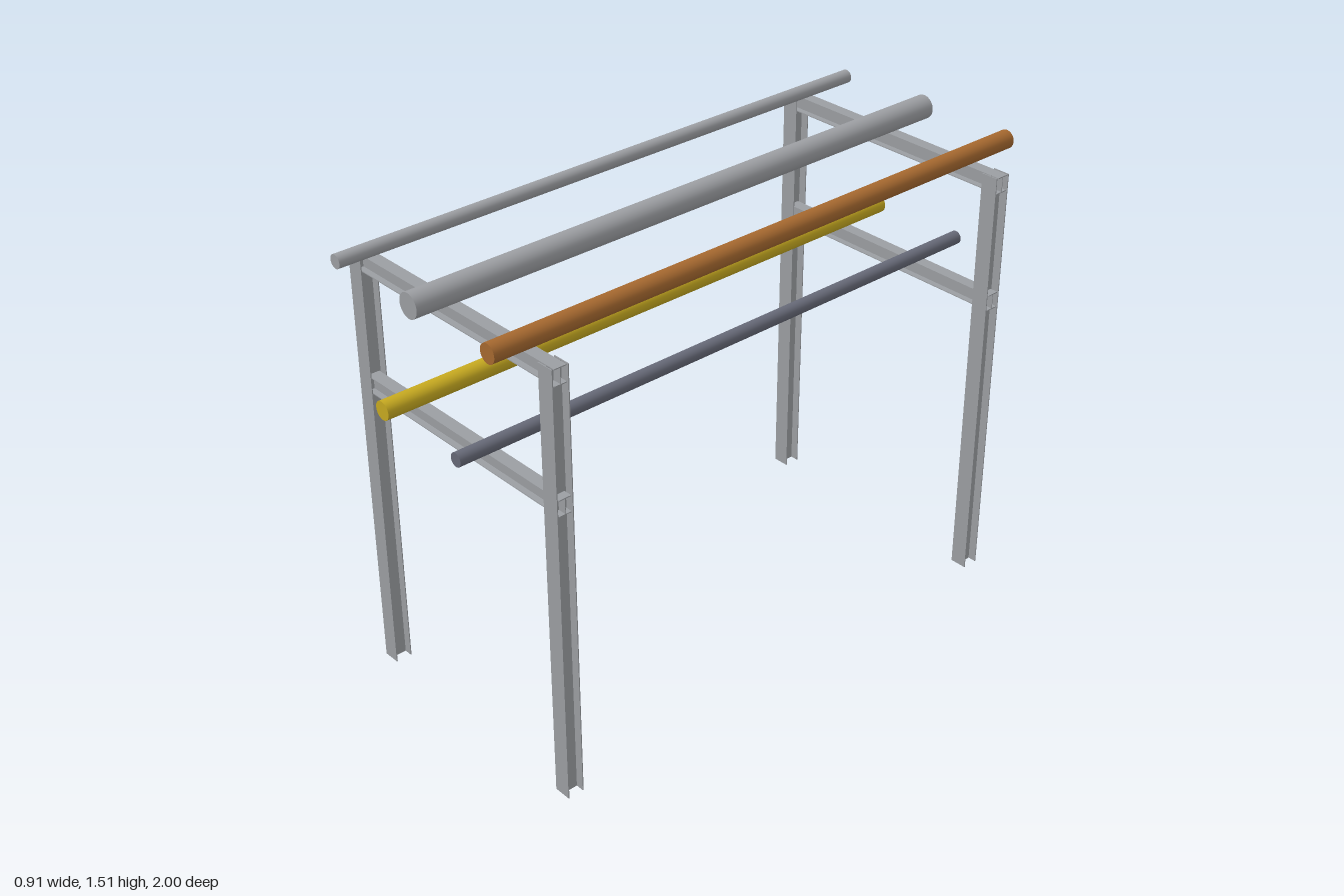
import * as THREE from 'three';

const material = (name, color) => {
  const m = new THREE.MeshStandardMaterial({ color });
  m.name = name;
  return m;
};

// I-section extruded along z: flanges at top and bottom (y), web between
function iSection(width, height, flange, web, length) {
  const w = width / 2, h = height / 2, t = web / 2, f = h - flange;
  const half = [[w, -h], [w, -f], [t, -f], [t, f], [w, f], [w, h]];
  const mirrored = half.map(([x, y]) => [-x, -y]);
  const shape = new THREE.Shape([...half, ...mirrored].map(([x, y]) => new THREE.Vector2(x, y)));
  return new THREE.ExtrudeGeometry(shape, { depth: length, bevelEnabled: false })
    .translate(0, 0, -length / 2);
}

export function createModel() {
  const model = new THREE.Group();
  model.name = 'pipeRack';

  const steel = material('steel', 0x9b9ea2);
  const greyPipe = material('greyPipe', 0x9c9ea2);
  const yellow = material('yellowPipe', 0xc6a920);
  const slate = material('slatePipe', 0x666977);
  const brown = material('brownPipe', 0xa5682f);

  const add = (parent, name, geometry, mat, x, y, z) => {
    const mesh = new THREE.Mesh(geometry, mat);
    mesh.name = name;
    mesh.position.set(x, y, z);
    parent.add(mesh);
  };

  // Columns have flanges facing front and back; beams run through to the outer sides
  const top = 1.43, beamHeight = 0.054;
  const columnGeometry = iSection(0.057, 0.056, 0.003, 0.002, top).rotateX(-Math.PI / 2);
  const beamGeometry = iSection(0.041, beamHeight, 0.003, 0.002, 0.914).rotateY(Math.PI / 2);

  for (const [name, z] of [['frontFrame', 0.857], ['backFrame', -0.857]]) {
    const frame = new THREE.Group();
    frame.name = name;
    frame.position.z = z;
    add(frame, 'leftColumn', columnGeometry, steel, 0.4285, top / 2, 0);
    add(frame, 'rightColumn', columnGeometry, steel, -0.4285, top / 2, 0);
    add(frame, 'upperBeam', beamGeometry, steel, 0, top - beamHeight / 2, 0);
    add(frame, 'lowerBeam', beamGeometry, steel, 0, 1.03 - beamHeight / 2, 0);
    model.add(frame);
  }

  // Pipes running the full length on both levels
  const pipes = [
    ['upperSmallPipe', -0.343, 1.474, 0.022, greyPipe],
    ['upperLargePipe', 0, 1.474, 0.039, greyPipe],
    ['upperBrownPipe', 0.343, 1.474, 0.03, brown],
    ['lowerYellowPipe', -0.171, 1.074, 0.03, yellow],
    ['lowerSlatePipe', 0.171, 1.074, 0.022, slate],
  ];
  for (const [name, x, y, r, mat] of pipes) {
    add(model, name, new THREE.CylinderGeometry(r, r, 2, 32).rotateX(Math.PI / 2), mat, x, y, 0);
  }

  return model;
}
